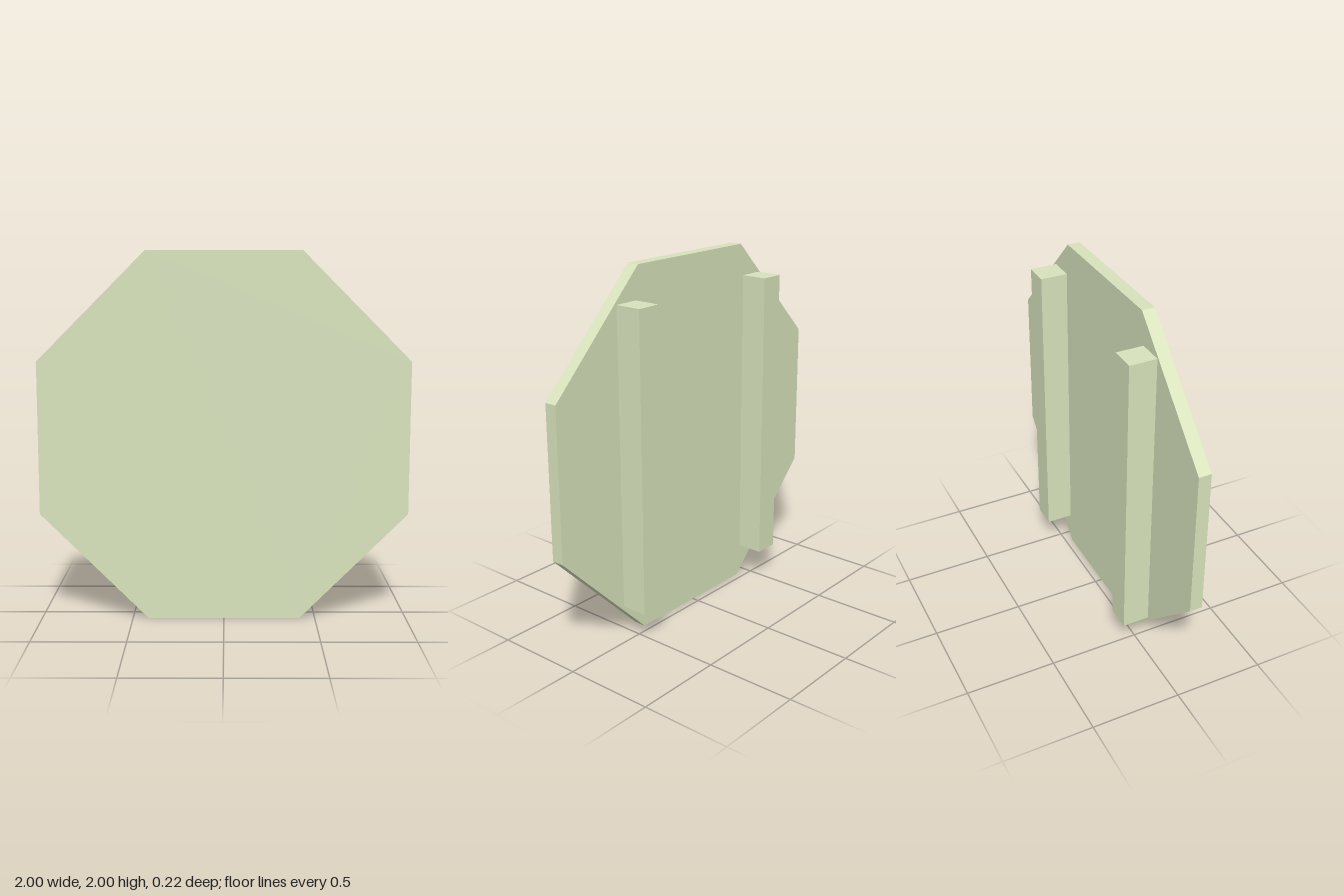
import * as THREE from 'three';

export function createModel() {
  const group = new THREE.Group();
  const material = new THREE.MeshStandardMaterial({ color: 0xd8e3bc, flatShading: true });

  // Octagonal panel, flat side down, standing on y = 0
  const sides = 8;
  const radius = 1 / Math.cos(Math.PI / sides);
  const corners = [];
  for (let i = 0; i < sides; i++) {
    const a = ((i + 0.5) / sides) * Math.PI * 2;
    corners.push(new THREE.Vector2(Math.cos(a) * radius, Math.sin(a) * radius));
  }
  const panel = new THREE.Mesh(
    new THREE.ExtrudeGeometry(new THREE.Shape(corners), { depth: 0.069, bevelEnabled: false }),
    material
  );
  panel.name = 'octagonPanel';
  panel.position.set(0, 1, 0.04);
  group.add(panel);

  // Two upright battens on the back
  const battenGeometry = new THREE.BoxGeometry(0.139, 1.64, 0.149);
  for (const [name, x] of [['leftBatten', 0.503], ['rightBatten', -0.508]]) {
    const batten = new THREE.Mesh(battenGeometry, material);
    batten.name = name;
    batten.position.set(x, 1.003, -0.0345);
    group.add(batten);
  }

  return group;
}
